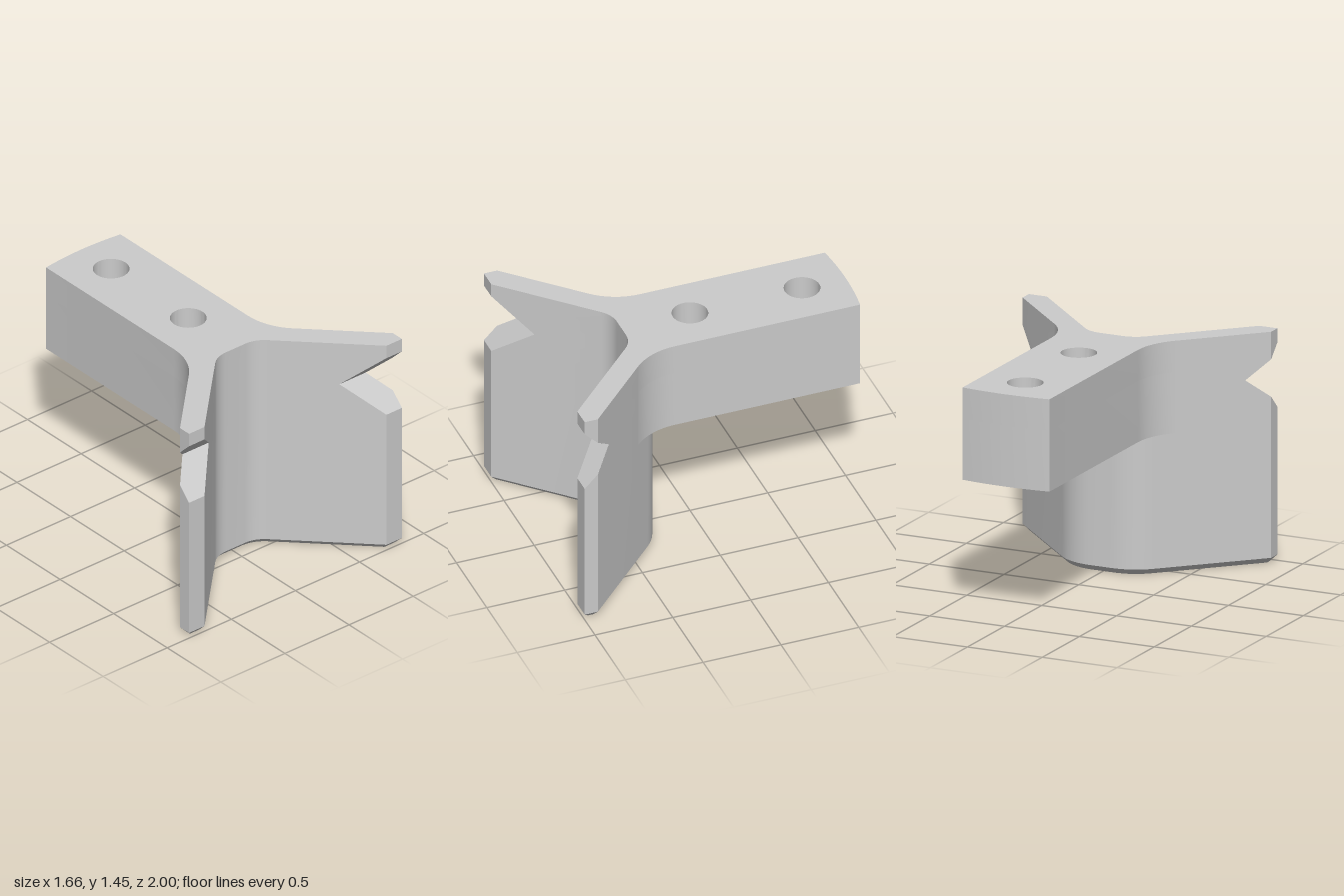
import * as THREE from 'three';
import { toCreasedNormals } from 'three/addons/utils/BufferGeometryUtils.js';

const TOP = 1.445, ARM_BOTTOM = 0.87, LEDGE = 1.25;
const BEND = { x: 0.075, z: 0.62 }, FRONT_R = 0.18, BACK_R = 0.325;
const STEPS = 8;
const mirror = (half) => [...half, ...half.map((p) => new THREE.Vector2(-p.x, p.y)).reverse()];

// Arc of the V-shaped plate's bend; plan points are stored as (x, -z)
function bendArc(r) {
  return Array.from({ length: STEPS + 1 }, (_, i) => {
    const t = (i / STEPS) * Math.PI / 4;
    return new THREE.Vector2(BEND.x + r * Math.sin(t), -(BEND.z - r * Math.cos(t)));
  });
}

// Plan outline of the plate, cut off at zMax and shrunk by inset
function plateOutline(zMax, inset) {
  const rf = FRONT_R + inset, rb = BACK_R - inset;
  const xMax = 0.83 - inset, z = zMax - inset;
  const k = (r) => BEND.x - BEND.z + r * Math.SQRT2;
  const xOut = Math.min(xMax, z + k(rb));
  return mirror([
    ...bendArc(rf),
    new THREE.Vector2(z + k(rf), -z),
    new THREE.Vector2(xOut, -z),
    new THREE.Vector2(xOut, -(xOut - k(rb))),
    ...bendArc(rb).reverse(),
  ]);
}

// Plate lofted through levels [y, zMax, inset]: bottom chamfer and V notches
function plateGeometry() {
  const levels = [
    [0, 1, 0.035], [0.037, 1, 0], [0.957, 1, 0], [1.0406, 0.9164, 0],
    [1.157, 0.8, 0], [1.2734, 0.9164, 0], [1.357, 1, 0], [TOP, 1, 0],
  ];
  const outlines = levels.map(([, zMax, inset]) => plateOutline(zMax, inset));
  const rings = outlines.map((o, i) => o.map((p) => new THREE.Vector3(p.x, levels[i][0], -p.y)));
  const pos = [];
  const tri = (a, b, c) => {
    if (new THREE.Triangle(a, b, c).getArea() > 1e-8) for (const p of [a, b, c]) pos.push(p.x, p.y, p.z);
  };
  for (let i = 0; i < rings.length - 1; i++) {
    const lo = rings[i], hi = rings[i + 1], n = lo.length;
    for (let j = 0; j < n; j++) {
      const m = (j + 1) % n;
      tri(lo[j], lo[m], hi[m]);
      tri(lo[j], hi[m], hi[j]);
    }
  }
  const last = rings.length - 1;
  for (const [a, b, c] of THREE.ShapeUtils.triangulateShape(outlines[0], [])) tri(rings[0][c], rings[0][b], rings[0][a]);
  for (const [a, b, c] of THREE.ShapeUtils.triangulateShape(outlines[last], [])) tri(rings[last][a], rings[last][b], rings[last][c]);
  const g = new THREE.BufferGeometry();
  g.setAttribute('position', new THREE.Float32BufferAttribute(pos, 3));
  return toCreasedNormals(g, 0.4);
}

// Arm slab between two heights, with two round holes
function armGeometry(y0, y1, holeRadius) {
  const half = bendArc(BACK_R);
  for (let i = STEPS; i >= 0; i--) {
    const t = (i / STEPS) * Math.PI / 4;
    half.push(new THREE.Vector2(0.69 - 0.4 * Math.cos(t), -(0.21 + 0.4 * Math.sin(t))));
  }
  // slightly bowed rear end
  for (let i = 0; i < 4; i++) {
    const u = 1 - i / 4;
    half.push(new THREE.Vector2(0.29 * u, 1 - 0.02 * u * u));
  }
  half.push(new THREE.Vector2(0.01, 1));
  const shape = new THREE.Shape(mirror(half));
  for (const z of [0, -0.72]) {
    shape.holes.push(new THREE.Path().absarc(0, -z, holeRadius, 0, Math.PI * 2, true));
  }
  const g = new THREE.ExtrudeGeometry(shape, { depth: y1 - y0, bevelEnabled: false, curveSegments: 40 });
  g.rotateX(-Math.PI / 2).translate(0, y0, 0);
  return toCreasedNormals(g, 0.4);
}

export function createModel() {
  const group = new THREE.Group();
  group.name = 'bracket';
  const material = new THREE.MeshStandardMaterial({ color: 0xcccccc });
  const add = (name, geometry) => {
    const mesh = new THREE.Mesh(geometry, material);
    mesh.name = name;
    group.add(mesh);
  };
  add('notchedPlate', plateGeometry());
  add('armCounterbores', armGeometry(ARM_BOTTOM, LEDGE, 0.225));
  add('armScrewHoles', armGeometry(LEDGE, TOP, 0.11));
  return group;
}
